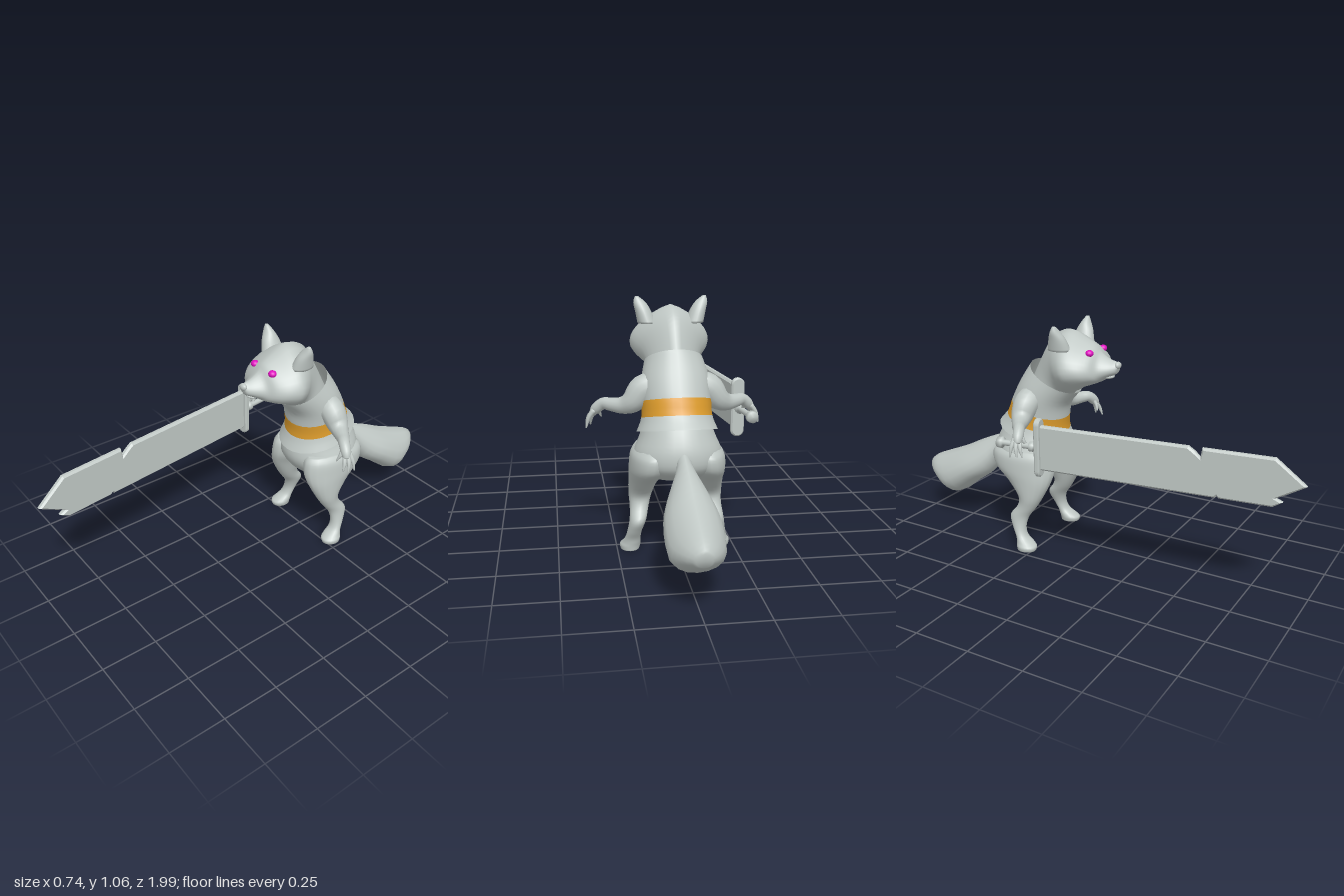
import * as THREE from 'three';

const V = (x, y, z) => new THREE.Vector3(x, y, z);
const fur = new THREE.MeshStandardMaterial({ color: 0xc0c8c5 });
const cloth = new THREE.MeshStandardMaterial({ color: 0xc0c8c5, side: THREE.DoubleSide });
const sash = new THREE.MeshStandardMaterial({ color: 0xdd9c2c, side: THREE.DoubleSide });
const eyeColour = new THREE.MeshStandardMaterial({ color: 0xe010c0 });
fur.name = 'fur'; cloth.name = 'cloth'; sash.name = 'sash'; eyeColour.name = 'eyeColour';

// Smoothly interpolates rows of section numbers, n steps per span
function smooth(rows, n = 4) {
  const out = [];
  const at = (i) => rows[Math.max(0, Math.min(rows.length - 1, i))];
  for (let i = 0; i < rows.length - 1; i++) {
    for (let k = 0; k < n; k++) {
      const t = k / n;
      out.push(rows[i].map((b, j) => {
        const a = at(i - 1)[j], c = at(i + 1)[j], d = at(i + 2)[j];
        return b + 0.5 * t * (c - a + t * (2 * a - 5 * b + 4 * c - d + t * (3 * (b - c) + d - a)));
      }));
    }
  }
  out.push(rows[rows.length - 1]);
  return out;
}

// Skins closed rings of points, with optional end caps, facing outwards
function loft(rings, capped = true) {
  const m = rings[0].length, pos = [], idx = [];
  rings.forEach((r) => r.forEach((p) => pos.push(p.x, p.y, p.z)));
  for (let i = 0; i < rings.length - 1; i++) {
    for (let j = 0; j < m; j++) {
      const a = i * m + j, b = i * m + (j + 1) % m;
      idx.push(a, b, b + m, a, b + m, a + m);
    }
  }
  if (capped) {
    [0, rings.length - 1].forEach((i) => {
      const c = rings[i].reduce((s, p) => s.add(p), V(0, 0, 0)).divideScalar(m);
      const ci = pos.length / 3;
      pos.push(c.x, c.y, c.z);
      for (let j = 0; j < m; j++) {
        const a = i * m + j, b = i * m + (j + 1) % m;
        if (i === 0) idx.push(ci, b, a); else idx.push(ci, a, b);
      }
    });
  }
  const P = (i) => V(pos[3 * i], pos[3 * i + 1], pos[3 * i + 2]).sub(rings[0][0]);
  let volume = 0;
  for (let i = 0; i < idx.length; i += 3) volume += P(idx[i]).dot(P(idx[i + 1]).cross(P(idx[i + 2])));
  if (volume < 0) idx.reverse();
  const g = new THREE.BufferGeometry();
  g.setAttribute('position', new THREE.Float32BufferAttribute(pos, 3));
  g.setIndex(idx);
  g.computeVertexNormals();
  return g;
}

const ringOf = (n, f) => Array.from({ length: n }, (_, i) => f((i / n) * Math.PI * 2));

// Section on the centre plane: first point (z, y), second point (z, y), half width
const spanRing = (q = 1, n = 28) => ([z0, y0, z1, y1, w]) => ringOf(n, (a) => {
  const f = ((1 - Math.cos(a)) / 2) ** q;
  return V(w * Math.sin(a), y0 + (y1 - y0) * f, z0 + (z1 - z0) * f);
});

// Level section: y, x range, z range
const levelRing = (s) => ([y, x0, x1, z0, z1]) => ringOf(20, (a) => V(
  s * ((x0 + x1) / 2 + ((x1 - x0) / 2) * Math.cos(a)), y, (z0 + z1) / 2 + ((z1 - z0) / 2) * Math.sin(a)));

// Round limb from rows of x, y, z, radius
function limb(rows, s, n = 4, sides = 14) {
  const r = smooth(rows, n).map(([x, y, z, rad]) => ({ p: V(s * x, y, z), rad }));
  return loft(r.map(({ p, rad }, i) => {
    const t = r[Math.min(i + 1, r.length - 1)].p.clone().sub(r[Math.max(i - 1, 0)].p).normalize();
    const u = t.clone().cross(V(0, 0, 1)).normalize(), v = t.clone().cross(u);
    return ringOf(sides, (a) => p.clone().addScaledVector(u, rad * Math.cos(a)).addScaledVector(v, rad * Math.sin(a)));
  }));
}

export function createModel() {
  const model = new THREE.Group();
  const add = (name, geo, mat = fur, parent = model) => {
    const mesh = new THREE.Mesh(geo, mat);
    mesh.name = name;
    parent.add(mesh);
    return mesh;
  };
  const ball = (name, x, y, z, rx, ry, rz, mat) => {
    const b = add(name, new THREE.SphereGeometry(1, 16, 10), mat);
    b.position.set(x, y, z);
    b.scale.set(rx, ry, rz);
  };

  // Head and neck, from nose to shoulders
  add('head', loft(smooth([
    [0.098, 0.895, 0.093, 0.872, 0.012], [0.085, 0.906, 0.085, 0.852, 0.026], [0.05, 0.915, 0.06, 0.838, 0.045],
    [0.01, 0.937, 0.03, 0.82, 0.072], [-0.02, 0.97, 0.01, 0.808, 0.113], [-0.08, 1.0, -0.02, 0.795, 0.15],
    [-0.14, 1.026, -0.07, 0.775, 0.17], [-0.2, 1.012, -0.1, 0.757, 0.155], [-0.255, 0.965, -0.13, 0.74, 0.125],
    [-0.315, 0.86, -0.15, 0.72, 0.107], [-0.37, 0.75, -0.19, 0.66, 0.11],
  ]).map(spanRing(0.65))));
  ball('nose', 0, 0.89, 0.09, 0.02, 0.016, 0.014);
  ball('lowerJaw', 0, 0.836, 0.03, 0.032, 0.012, 0.042);

  // Hips and torso under the vest
  add('body', loft(smooth([
    [-0.19, 0.64, -0.39, 0.72, 0.11], [-0.195, 0.56, -0.44, 0.64, 0.13], [-0.17, 0.48, -0.5, 0.55, 0.155],
    [-0.17, 0.42, -0.53, 0.47, 0.183], [-0.2, 0.365, -0.52, 0.4, 0.17], [-0.25, 0.325, -0.45, 0.35, 0.11],
    [-0.31, 0.315, -0.38, 0.325, 0.04],
  ]).map(spanRing())));

  // Vest with a coloured waistband
  const vest = smooth([
    [-0.112, 0.74, -0.342, 0.866, 0.122], [-0.168, 0.675, -0.395, 0.78, 0.142], [-0.182, 0.61, -0.443, 0.69, 0.144],
    [-0.182, 0.544, -0.472, 0.625, 0.147], [-0.155, 0.48, -0.516, 0.576, 0.168],
  ]).map(spanRing());
  add('vestTop', loft(vest.slice(0, 9), false), cloth);
  add('waistband', loft(vest.slice(8, 13), false), sash);
  add('vestHem', loft(vest.slice(12), false), cloth);

  // Bushy tail with a keeled underside
  add('tail', loft(smooth([
    [-0.48, 0.5, -0.49, 0.45, 0.025], [-0.56, 0.468, -0.545, 0.39, 0.035], [-0.66, 0.425, -0.6, 0.275, 0.08],
    [-0.76, 0.375, -0.69, 0.205, 0.11], [-0.87, 0.33, -0.81, 0.122, 0.11], [-0.95, 0.295, -0.91, 0.165, 0.075],
    [-0.992, 0.265, -0.975, 0.205, 0.03],
  ], 3).map(spanRing(0.75, 16))));

  for (const [side, s] of [['left', 1], ['right', -1]]) {
    ball(side + 'Eye', s * 0.06, 0.942, -0.018, 0.019, 0.015, 0.018, eyeColour);

    add(side + 'Ear', loft(smooth([
      [0.95, 0.06, 0.14, -0.2, -0.09], [1.0, 0.083, 0.15, -0.185, -0.105],
      [1.035, 0.105, 0.157, -0.168, -0.125], [1.06, 0.135, 0.151, -0.152, -0.138],
    ]).map(levelRing(s))));

    // Thigh, hock and paw
    add(side + 'Leg', loft(smooth([
      [0.47, 0.05, 0.17, -0.48, -0.2], [0.44, 0.03, 0.193, -0.505, -0.18], [0.38, 0.04, 0.2, -0.49, -0.175],
      [0.32, 0.075, 0.2, -0.41, -0.19], [0.25, 0.1, 0.199, -0.345, -0.225], [0.2, 0.115, 0.196, -0.35, -0.255],
      [0.15, 0.13, 0.2, -0.385, -0.29], [0.1, 0.147, 0.208, -0.365, -0.3], [0.06, 0.152, 0.217, -0.342, -0.288],
      [0.035, 0.15, 0.228, -0.335, -0.255], [0.018, 0.15, 0.238, -0.332, -0.235], [0, 0.155, 0.235, -0.33, -0.238],
    ]).map(levelRing(s))));

    add(side + 'Arm', limb([
      [0.08, 0.715, -0.3, 0.055], [0.135, 0.7, -0.3, 0.058], [0.175, 0.652, -0.3, 0.05], [0.215, 0.63, -0.285, 0.037],
      [0.26, 0.628, -0.26, 0.029], [0.295, 0.628, -0.235, 0.025], [0.325, 0.603, -0.22, 0.023], [0.34, 0.58, -0.212, 0.014],
    ], s));

    // Fingers: base x, y, z then tip x, y, z
    [[0.335, 0.6, -0.232, 0.368, 0.525, -0.235], [0.335, 0.595, -0.222, 0.367, 0.53, -0.2],
      [0.328, 0.59, -0.21, 0.348, 0.527, -0.185], [0.31, 0.61, -0.215, 0.302, 0.56, -0.187]].forEach((f, i) => {
      const [x, y, z, X, Y, Z] = f;
      add(side + 'Finger' + (i + 1), limb([
        [x, y, z, 0.011], [(x + X) / 2 + 0.006, (y + Y) / 2 + 0.004, (z + Z) / 2, 0.009], [X, Y, Z, 0.003],
      ], s, 3, 8));
    });
  }

  // Sword, pointing forwards from the right hand
  const sword = new THREE.Group();
  sword.name = 'sword';
  sword.position.set(-0.3, 0.567, -0.13);
  sword.rotation.y = 0.12;
  model.add(sword);

  // Chipped blade outline: length, height
  const outline = [[0, -0.1], [0.78, -0.1], [0.788, -0.092], [0.796, -0.1], [1.01, -0.1], [1.05, -0.075], [1.02, -0.062],
    [1.06, -0.042], [1.137, 0.003], [1.012, 0.102], [0.722, 0.102], [0.716, 0.062], [0.69, 0.085], [0.665, 0.102], [0, 0.102]];
  const blade = new THREE.ExtrudeGeometry(new THREE.Shape(outline.map(([x, y]) => new THREE.Vector2(x, y))), {
    depth: 0.012, bevelEnabled: true, bevelThickness: 0.008, bevelSize: 0.008, bevelOffset: -0.008, bevelSegments: 1,
  });
  blade.translate(0, 0, -0.006).rotateY(-Math.PI / 2);
  add('blade', blade, fur, sword);

  // Guard with rounded ends
  const g = new THREE.Shape();
  g.absarc(0, 0.102, 0.03, 0, Math.PI);
  g.absarc(0, -0.102, 0.03, Math.PI, Math.PI * 2);
  g.closePath();
  const guard = new THREE.ExtrudeGeometry(g, {
    depth: 0.014, bevelEnabled: true, bevelThickness: 0.006, bevelSize: 0.006, bevelOffset: -0.006, bevelSegments: 1, curveSegments: 8,
  });
  add('guard', guard.translate(0, 0, -0.007), fur, sword);

  // Grip, collar and pommel turned in one piece
  const grip = new THREE.LatheGeometry([[0, -0.2], [0.024, -0.198], [0.026, -0.175], [0.013, -0.17], [0.013, -0.045],
    [0.022, -0.042], [0.022, -0.025], [0.014, -0.022], [0.014, 0]].map(([r, y]) => new THREE.Vector2(r, y)), 14);
  add('grip', grip.rotateX(Math.PI / 2), fur, sword);

  return model;
}
